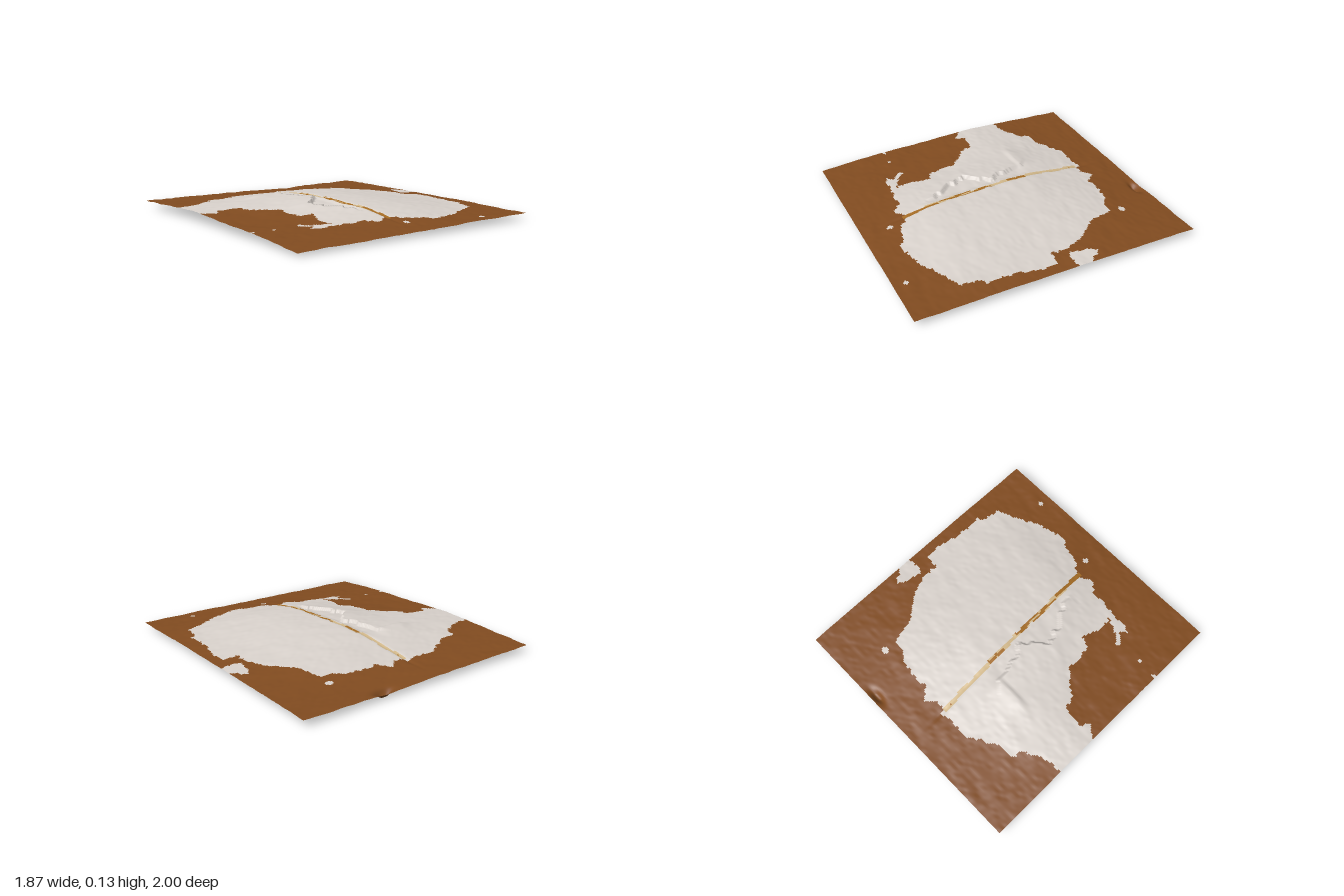
import * as THREE from 'three';

const W = 1.87, D = 2, NX = 168, NZ = 180;

// Heights in thousandths: rows run back to front, columns left to right in x
const HEIGHTS = [
  [45, 45, 45, 42, 40, 34, 38, 42, 48],
  [55, 55, 55, 58, 58, 55, 52, 50, 52],
  [68, 76, 84, 90, 88, 85, 72, 58, 52],
  [76, 92, 106, 115, 117, 108, 88, 66, 53],
  [68, 78, 97, 120, 122, 115, 92, 66, 53],
  [58, 62, 76, 104, 117, 112, 92, 66, 52],
  [52, 54, 62, 88, 104, 104, 86, 64, 50],
  [38, 42, 46, 54, 64, 66, 58, 50, 46],
  [18, 24, 26, 30, 32, 36, 40, 42, 45],
];

// Outline of the pale plateau, as x, z pairs
const PLATEAU = [
  -0.1, -0.74, -0.17, -0.71, -0.3, -0.73, -0.38, -0.69, -0.42, -0.65, -0.52, -0.61, -0.63, -0.59,
  -0.66, -0.53, -0.78, -0.45, -0.95, -0.43, -0.95, -0.14, -0.85, -0.06, -0.82, -0.11, -0.66, -0.1,
  -0.63, -0.01, -0.55, 0.05, -0.47, 0.14, -0.48, 0.2, -0.45, 0.33, -0.37, 0.36, -0.43, 0.5,
  -0.41, 0.6, -0.5, 0.56, -0.58, 0.49, -0.6, 0.51, -0.53, 0.58, -0.58, 0.63, -0.44, 0.64,
  -0.3, 0.66, -0.2, 0.66, -0.12, 0.73, -0.05, 0.67, 0, 0.7, 0.1, 0.76, 0.2, 0.79,
  0.25, 0.83, 0.35, 0.8, 0.48, 0.78, 0.58, 0.72, 0.7, 0.67, 0.77, 0.63, 0.78, 0.52,
  0.83, 0.48, 0.82, 0.3, 0.86, 0.2, 0.86, 0.02, 0.83, -0.01, 0.76, 0, 0.76, -0.14,
  0.7, -0.26, 0.64, -0.35, 0.55, -0.45, 0.53, -0.61, 0.46, -0.6, 0.37, -0.66, 0.24, -0.69,
  0.13, -0.68, 0.05, -0.76, 0, -0.69, -0.07, -0.7,
];
const ISLET = [0.8, -0.12, 0.81, -0.22, 0.85, -0.29, 0.89, -0.28, 0.9, -0.23, 0.95, -0.2, 0.95, -0.11, 0.86, -0.1];
// Small pale spots: x, z, radius
const SPOTS = [[0.53, -0.7, 0.025], [0.02, 0.81, 0.02], [0.59, 0.92, 0.018], [-0.78, 0.52, 0.015], [-0.92, 0.51, 0.014]];
// Broken scarp beside the fissure: z, x
const SCARP = [[-0.4, -0.3], [-0.3, -0.2], [-0.1, -0.17], [0, -0.12], [0.08, -0.2], [0.14, -0.27], [0.22, -0.24], [0.32, -0.18], [0.42, -0.13], [0.52, -0.11]];

const { smoothstep, lerp, clamp } = THREE.MathUtils;

function hash(i, j) {
  const s = Math.sin(i * 127.1 + j * 311.7) * 43758.5453;
  return s - Math.floor(s);
}

// Smooth noise between -1 and 1
function noise(x, z) {
  const i = Math.floor(x), j = Math.floor(z);
  const u = smoothstep(x - i, 0, 1), v = smoothstep(z - j, 0, 1);
  return 2 * lerp(lerp(hash(i, j), hash(i + 1, j), u), lerp(hash(i, j + 1), hash(i + 1, j + 1), u), v) - 1;
}

// Cubic interpolation through evenly spaced values
function spline(values, t) {
  const n = values.length - 1, p = clamp(t, 0, 1) * n;
  const i = Math.min(Math.floor(p), n - 1), f = p - i;
  const b = values[i], c = values[i + 1];
  const a = values[i - 1] ?? 2 * b - c, d = values[i + 2] ?? 2 * c - b;
  return b + 0.5 * f * (c - a + f * (2 * a - 5 * b + 4 * c - d + f * (3 * (b - c) + d - a)));
}

function inside(pts, x, z) {
  let hit = false;
  for (let i = 0, j = pts.length - 2; i < pts.length; j = i, i += 2) {
    const [ax, az, bx, bz] = [pts[i], pts[i + 1], pts[j], pts[j + 1]];
    if ((az > z) !== (bz > z) && x < ax + (bx - ax) * (z - az) / (bz - az)) hit = !hit;
  }
  return hit;
}

const fissureX = z => -0.055 + 0.04 * z + 0.006 * noise(z * 14, 3);

function scarpX(z) {
  const k = SCARP.findIndex(p => p[0] >= z);
  if (k < 1) return -0.2;
  const [a, b] = [SCARP[k - 1], SCARP[k]];
  return lerp(a[1], b[1], (z - a[0]) / (b[0] - a[0]));
}

function height(x, z) {
  const t = x / W + 0.5;
  let y = spline(HEIGHTS.map(row => spline(row, t)), z / D + 0.5) / 1000;
  // Streaky bumps running mainly along x
  y += 0.0026 * noise(x * 8 + z * 3, z * 15 - x * 4) + 0.0013 * noise(x * 26 + 9, z * 42);
  // Scarp rising from the west and dropping towards the fissure
  const fade = smoothstep(z, -0.4, -0.2) * (1 - smoothstep(z, 0.4, 0.55));
  const s = x - scarpX(z) - 0.03 * noise(x * 9, z * 30);
  const f = fissureX(z) - x;
  if (s < 0) y += fade * 0.01 * Math.exp(s * 9);
  else if (f > 0) y -= fade * 0.014 * smoothstep(f, 0, 0.06);
  // Step on the southern side of the western arm
  const arm = smoothstep(x, -0.5, -0.38) * (1 - smoothstep(x, -0.24, -0.17));
  y += 0.012 * arm * smoothstep(z, -0.45, -0.3) * (1 - smoothstep(z, -0.295, -0.265));
  // Shallow groove along the fissure
  y -= 0.006 * Math.exp(-((f / 0.015) ** 2)) * (1 - smoothstep(Math.abs(z), 0.7, 0.95));
  // Sharp hollow at the back edge
  y -= 0.045 * Math.exp(-(((x - 0.32) / 0.06) ** 2) - ((z + 0.96) / 0.025) ** 2);
  return Math.max(0, y);
}

// Which surface a small cell belongs to
function surfaceAt(x, z) {
  const f = Math.abs(x - fissureX(z));
  if (z > -0.7 && z < 0.7 && f < 0.015) {
    return noise(x * 60, z * 22) + z * 0.5 > 0.05 ? 'fissureRock' : 'fissureSand';
  }
  const jx = x + 0.012 * noise(x * 40, z * 40), jz = z + 0.012 * noise(x * 40 + 7, z * 40);
  const pale = inside(PLATEAU, jx, jz) || inside(ISLET, jx, jz)
    || SPOTS.some(([sx, sz, r]) => Math.hypot(x - sx, z - sz) < r);
  return pale ? 'palePlateau' : 'brownGround';
}

export function createModel() {
  const group = new THREE.Group();
  group.name = 'terrain';
  const colours = { brownGround: 0x824c20, palePlateau: 0xd9d2cc, fissureSand: 0xd2b88a, fissureRock: 0xa56c24 };

  // One shared height field
  const points = [];
  for (let j = 0; j <= NZ; j++) {
    for (let i = 0; i <= NX; i++) {
      const x = (i / NX - 0.5) * W, z = (j / NZ - 0.5) * D;
      points.push(x, height(x, z), z);
    }
  }

  // Sort the cells by surface
  const faces = {}, all = [];
  for (const name in colours) faces[name] = [];
  for (let j = 0; j < NZ; j++) {
    for (let i = 0; i < NX; i++) {
      const a = j * (NX + 1) + i, b = a + 1, c = a + NX + 1, d = c + 1;
      const cell = [a, c, b, b, c, d];
      all.push(...cell);
      faces[surfaceAt(((i + 0.5) / NX - 0.5) * W, ((j + 0.5) / NZ - 0.5) * D)].push(...cell);
    }
  }
  const field = new THREE.BufferGeometry();
  field.setAttribute('position', new THREE.Float32BufferAttribute(points, 3));
  field.setIndex(all);
  field.computeVertexNormals();

  // One mesh per surface, sharing points and normals so the seams stay smooth
  for (const name in colours) {
    const geometry = new THREE.BufferGeometry();
    geometry.setAttribute('position', field.getAttribute('position'));
    geometry.setAttribute('normal', field.getAttribute('normal'));
    geometry.setIndex(faces[name]);
    const material = new THREE.MeshStandardMaterial({ color: colours[name], side: THREE.DoubleSide });
    material.name = name;
    const mesh = new THREE.Mesh(geometry, material);
    mesh.name = name;
    group.add(mesh);
  }
  return group;
}
